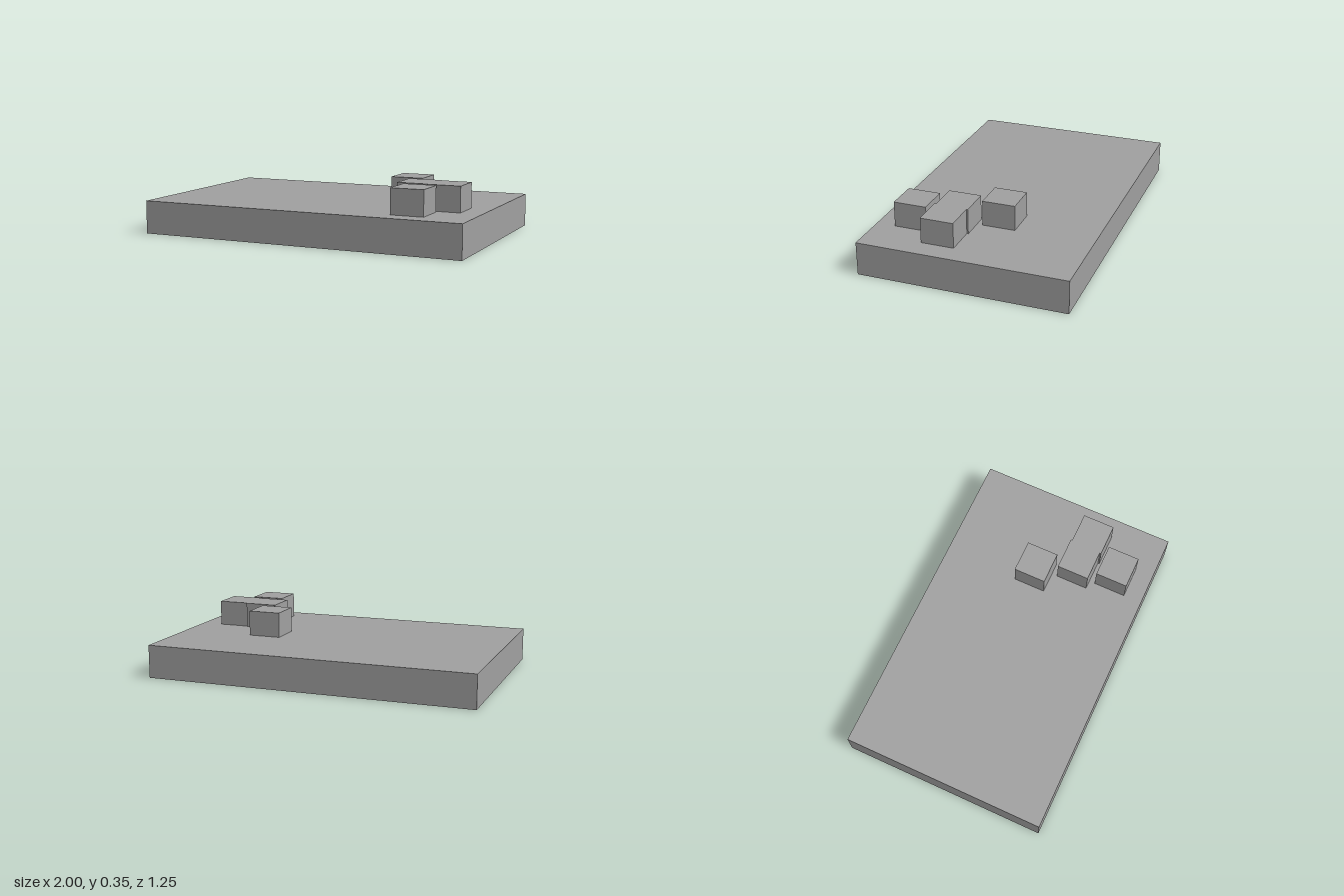
import * as THREE from 'three';

const BASE_HEIGHT = 0.2;
const BLOCK = { width: 0.198, height: 0.152, depth: 0.198 };

export function createModel() {
  const model = new THREE.Group();
  model.name = 'slabWithBlocks';
  const grey = new THREE.MeshStandardMaterial({ color: 0xa0a0a0 });
  grey.name = 'grey';

  // Box standing on height y
  function addBox(name, width, height, depth, x, y, z) {
    const mesh = new THREE.Mesh(new THREE.BoxGeometry(width, height, depth), grey);
    mesh.name = name;
    mesh.position.set(x, y + height / 2, z);
    model.add(mesh);
  }

  // Base slab
  addBox('baseSlab', 2, BASE_HEIGHT, 1.25, 0, 0, 0);

  // Small blocks on the slab; the middle two overlap slightly
  const blocks = [
    ['backBlock', 0.457, -0.056],
    ['middleInnerBlock', 0.586, 0.177],
    ['middleOuterBlock', 0.774, 0.186],
    ['frontBlock', 0.639, 0.411],
  ];
  for (const [name, x, z] of blocks) {
    addBox(name, BLOCK.width, BLOCK.height, BLOCK.depth, x, BASE_HEIGHT, z);
  }

  return model;
}
